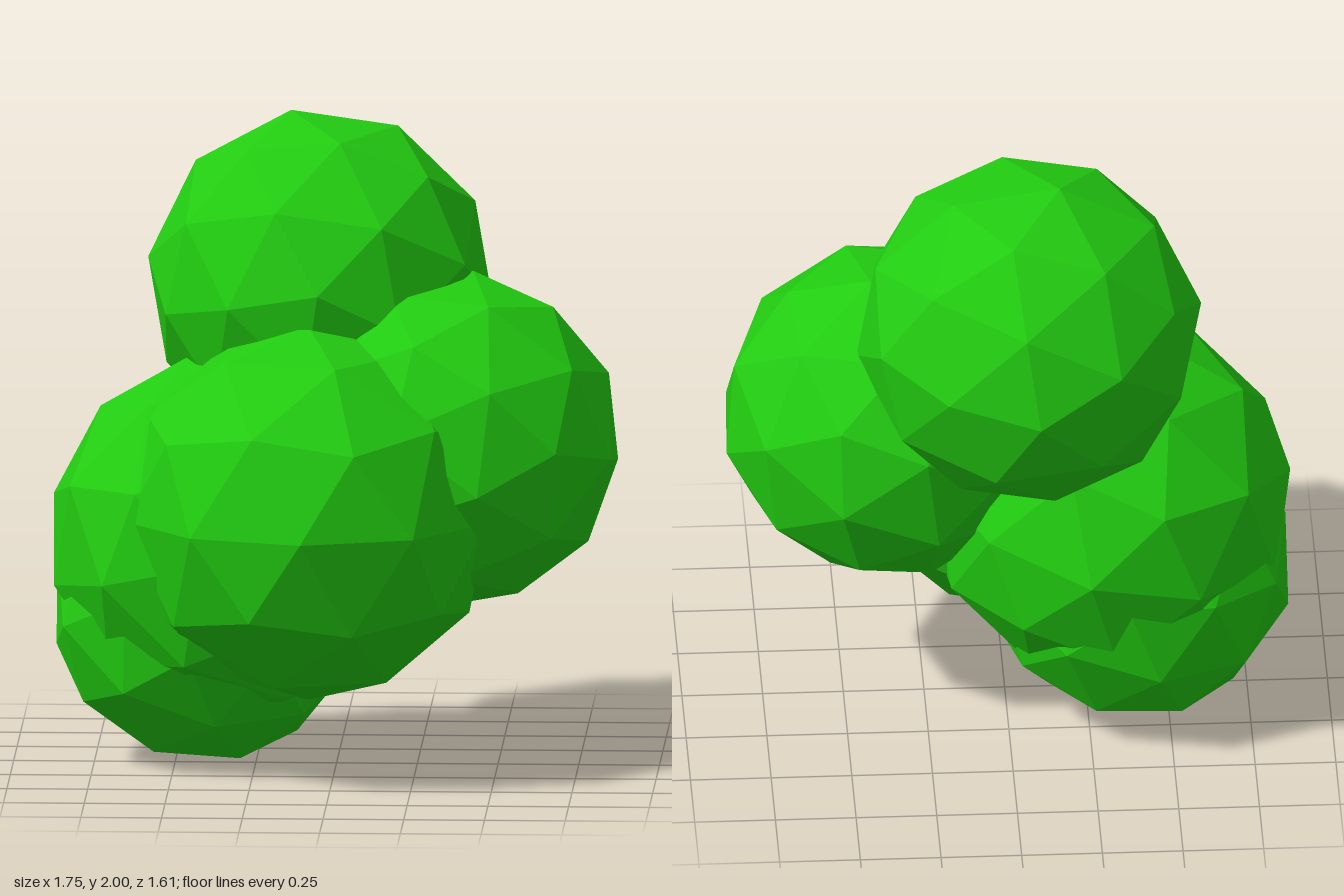
import * as THREE from 'three';

const leafGreen = new THREE.MeshStandardMaterial({ color: 0x22cc11, flatShading: true });
leafGreen.name = 'leafGreen';

// Each clump: centre, radius, direction of one edge midpoint, and direction of that edge
const clumps = [
  { name: 'topClump', at: [-0.06, 1.47, -0.275], r: 0.54, mid: [0.24, 0.49, -0.045], edge: [0.16, -0.04, 0.27] },
  { name: 'leftClump', at: [0.36, 1.025, 0], r: 0.525, mid: [0.916, 0.386, -0.1], edge: [-0.372, 0.956, 0.252] },
  { name: 'frontClump', at: [-0.08, 0.828, 0.213], r: 0.588, mid: [0, 0, 1], edge: [0.276, 0.447, 0] },
  { name: 'rightClump', at: [-0.32, 0.71, -0.02], r: 0.578, mid: [-0.716, 0.691, -0.102], edge: [0.684, 0.724, 0.097] },
  { name: 'bottomClump', at: [-0.405, 0.487, -0.06], r: 0.49, mid: [-0.02, -0.98, -0.18], edge: [0.241, -0.095, 0.459] },
];

// Faceted ball turned so that its +z edge midpoint points along mid, its edge along edge
function makeClump({ name, at, r, mid, edge }) {
  const z = new THREE.Vector3(...mid).normalize();
  const x = new THREE.Vector3(...edge).cross(z).normalize();
  const y = new THREE.Vector3().crossVectors(z, x);
  const geometry = new THREE.IcosahedronGeometry(r, 1);
  geometry.computeVertexNormals(); // non-indexed, so this gives flat facets
  const mesh = new THREE.Mesh(geometry, leafGreen);
  mesh.name = name;
  mesh.quaternion.setFromRotationMatrix(new THREE.Matrix4().makeBasis(x, y, z));
  mesh.position.set(...at);
  return mesh;
}

export function createModel() {
  const bush = new THREE.Group();
  bush.name = 'bush';
  clumps.forEach((clump) => bush.add(makeClump(clump)));
  return bush;
}
